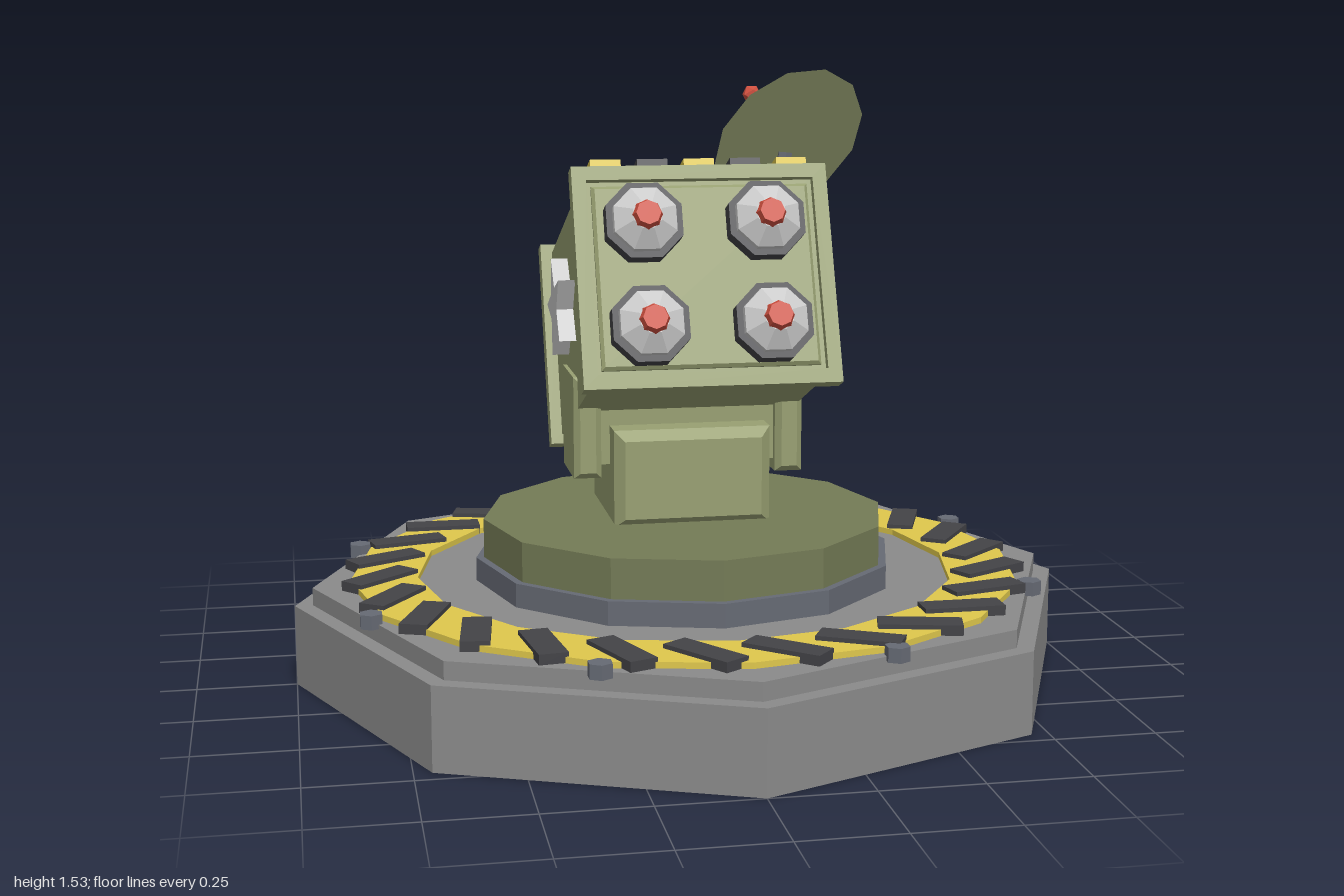
import * as THREE from 'three';

const mat = (color) => new THREE.MeshStandardMaterial({ color, flatShading: true });
const olive = mat(0x98a072), darkOlive = mat(0x747b56), grey = mat(0x8a8a8a), steel = mat(0x666a74);
const yellow = mat(0xdfc84c), black = mat(0x434347), silver = mat(0xbcbcbc), red = mat(0xd0503f);
const V = (x, y, z) => new THREE.Vector3(x, y, z);

function add(parent, name, geometry, material, x = 0, y = 0, z = 0) {
  const mesh = new THREE.Mesh(geometry, material);
  mesh.name = name;
  mesh.position.set(x, y, z);
  parent.add(mesh);
  return mesh;
}

// Upright prism between two heights
function prism(parent, name, r0, r1, y0, y1, sides, material) {
  return add(parent, name, new THREE.CylinderGeometry(r1, r0, y1 - y0, sides), material, 0, (y0 + y1) / 2, 0);
}

// Straight rod from a to b
function rod(parent, name, a, b, r0, r1, sides, material) {
  const d = b.clone().sub(a);
  const m = add(parent, name, new THREE.CylinderGeometry(r1, r0, d.length(), sides), material);
  m.position.copy(a).addScaledVector(d, 0.5);
  m.quaternion.setFromUnitVectors(V(0, 1, 0), d.normalize());
  return m;
}

function rectPath(path, w, h) {
  path.moveTo(-w / 2, -h / 2);
  path.lineTo(w / 2, -h / 2);
  path.lineTo(w / 2, h / 2);
  path.lineTo(-w / 2, h / 2);
  path.closePath();
  return path;
}

// Box with chamfered edges, centred on the origin
function chamferBox(w, h, d, c) {
  const g = new THREE.ExtrudeGeometry(rectPath(new THREE.Shape(), w - 2 * c, h - 2 * c), {
    depth: d - 2 * c, bevelSize: c, bevelThickness: c, bevelSegments: 1,
  });
  return g.translate(0, 0, -(d - 2 * c) / 2);
}

// Rectangular rim with an opening
function rim(w, h, d, border) {
  const s = rectPath(new THREE.Shape(), w, h);
  s.holes.push(rectPath(new THREE.Path(), w - 2 * border, h - 2 * border));
  return new THREE.ExtrudeGeometry(s, { depth: d, bevelEnabled: false }).translate(0, 0, -d / 2);
}

function starGeometry(r, inner, depth) {
  const pts = [];
  for (let i = 0; i < 10; i++) {
    const a = Math.PI / 2 + (i * Math.PI) / 5, q = i % 2 ? inner : r;
    pts.push(new THREE.Vector2(q * Math.cos(a), q * Math.sin(a)));
  }
  return new THREE.ExtrudeGeometry(new THREE.Shape(pts), { depth, bevelEnabled: false });
}

function buildBase() {
  const base = new THREE.Group();
  base.name = 'base';
  prism(base, 'foundation', 1, 1, 0, 0.205, 8, grey);
  prism(base, 'foundationStep', 0.955, 0.955, 0.205, 0.25, 8, grey);
  const ring = [[0.69, 0.245], [0.86, 0.245], [0.86, 0.265], [0.69, 0.265], [0.69, 0.245]];
  add(base, 'warningRing', new THREE.LatheGeometry(ring.map((p) => new THREE.Vector2(...p)), 16), yellow);
  // Slanted hazard stripes
  for (let i = 0; i < 26; i++) {
    const b = Math.PI / 2 + (i * Math.PI * 2) / 26;
    const s = add(base, 'warningStripe', new THREE.BoxGeometry(0.07, 0.025, 0.2), black,
      0.785 * Math.sin(b), 0.263, -0.785 * Math.cos(b));
    s.rotation.y = 0.73 - b;
  }
  // Bolts at the middle of each side
  for (let i = 0; i < 8; i++) {
    const a = ((i + 0.5) * Math.PI) / 4;
    add(base, 'bolt', new THREE.CylinderGeometry(0.03, 0.03, 0.035, 6), steel,
      0.89 * Math.sin(a), 0.257, 0.89 * Math.cos(a));
  }
  return base;
}

function buildTurret() {
  const turret = new THREE.Group();
  turret.name = 'turret';
  prism(turret, 'collar', 0.54, 0.54, 0.25, 0.31, 12, steel);
  prism(turret, 'turntable', 0.52, 0.52, 0.31, 0.41, 12, darkOlive);
  add(turret, 'pedestal', chamferBox(0.4, 0.25, 0.4, 0.025), olive, 0, 0.525, -0.06);
  add(turret, 'crossBar', new THREE.BoxGeometry(0.48, 0.14, 0.16), olive, 0, 0.62, -0.035);
  for (const s of [-1, 1])
    add(turret, 'bracket', chamferBox(0.07, 0.26, 0.23, 0.015), olive, s * 0.26, 0.65, -0.035);
  return turret;
}

function buildLauncher() {
  const launcher = new THREE.Group();
  launcher.name = 'launcher';
  launcher.position.set(0, 0.926, -0.0375);
  launcher.rotation.x = -THREE.MathUtils.degToRad(22);
  add(launcher, 'launcherBody', new THREE.BoxGeometry(0.57, 0.5, 0.7), olive);
  for (const s of [-1, 1]) {
    add(launcher, 'endRim', rim(0.63, 0.55, 0.05, 0.035), olive, 0, 0, s * 0.347);
    add(launcher, 'endPanel', chamferBox(0.535, 0.455, 0.03, 0.008), olive, 0, 0, s * 0.35);
    const star = add(launcher, 'sideStar', starGeometry(0.13, 0.055, 0.045), silver, s * 0.283, 0.02, -0.01);
    star.rotation.y = (s * Math.PI) / 2;
  }
  // Alternating blocks along the front top edge
  for (let i = 0; i < 5; i++)
    add(launcher, 'edgeBlock', new THREE.BoxGeometry(0.075, 0.02, 0.05), i % 2 ? black : yellow,
      (i - 2) * 0.115, 0.282, 0.345);
  // Four warheads in dark sockets
  const tip = [[0.088, 0], [0.082, 0.06], [0.036, 0.095], [0, 0.095]].map((p) => new THREE.Vector2(...p));
  for (const x of [-0.15, 0.15]) for (const y of [-0.127, 0.127]) {
    const missile = new THREE.Group();
    missile.name = 'missile';
    missile.position.set(x, y, 0.365);
    missile.rotation.x = Math.PI / 2;
    launcher.add(missile);
    prism(missile, 'socket', 0.1, 0.1, -0.02, 0.045, 8, black).rotation.y = Math.PI / 8;
    add(missile, 'warhead', new THREE.LatheGeometry(tip, 8), silver).rotation.y = Math.PI / 8;
    prism(missile, 'warheadCap', 0.038, 0.03, 0.09, 0.112, 8, red);
  }
  add(launcher, 'rearLight', new THREE.IcosahedronGeometry(0.024, 0), red, 0.225, 0.285, -0.3);
  return launcher;
}

function buildAntenna() {
  const antenna = new THREE.Group();
  antenna.name = 'antenna';
  const n = V(-0.286, 0.506, -0.815).normalize();
  const centre = V(0.36, 1.34, -0.375);
  const along = (t) => centre.clone().addScaledVector(n, t);
  rod(antenna, 'mast', V(0.265, 0.465, -0.355), V(0.352, 1.305, -0.392), 0.026, 0.021, 6, steel);
  rod(antenna, 'dish', centre, along(0.05), 0.226, 0, 12, darkOlive).material = olive;
  rod(antenna, 'feedArm', along(0.03), along(0.22), 0.016, 0.016, 6, steel);
  add(antenna, 'feedTip', new THREE.IcosahedronGeometry(0.027, 0), red).position.copy(along(0.227));
  return antenna;
}

export function createModel() {
  const model = new THREE.Group();
  model.name = 'missileTurret';
  model.add(buildBase(), buildTurret(), buildLauncher(), buildAntenna());
  return model;
}
